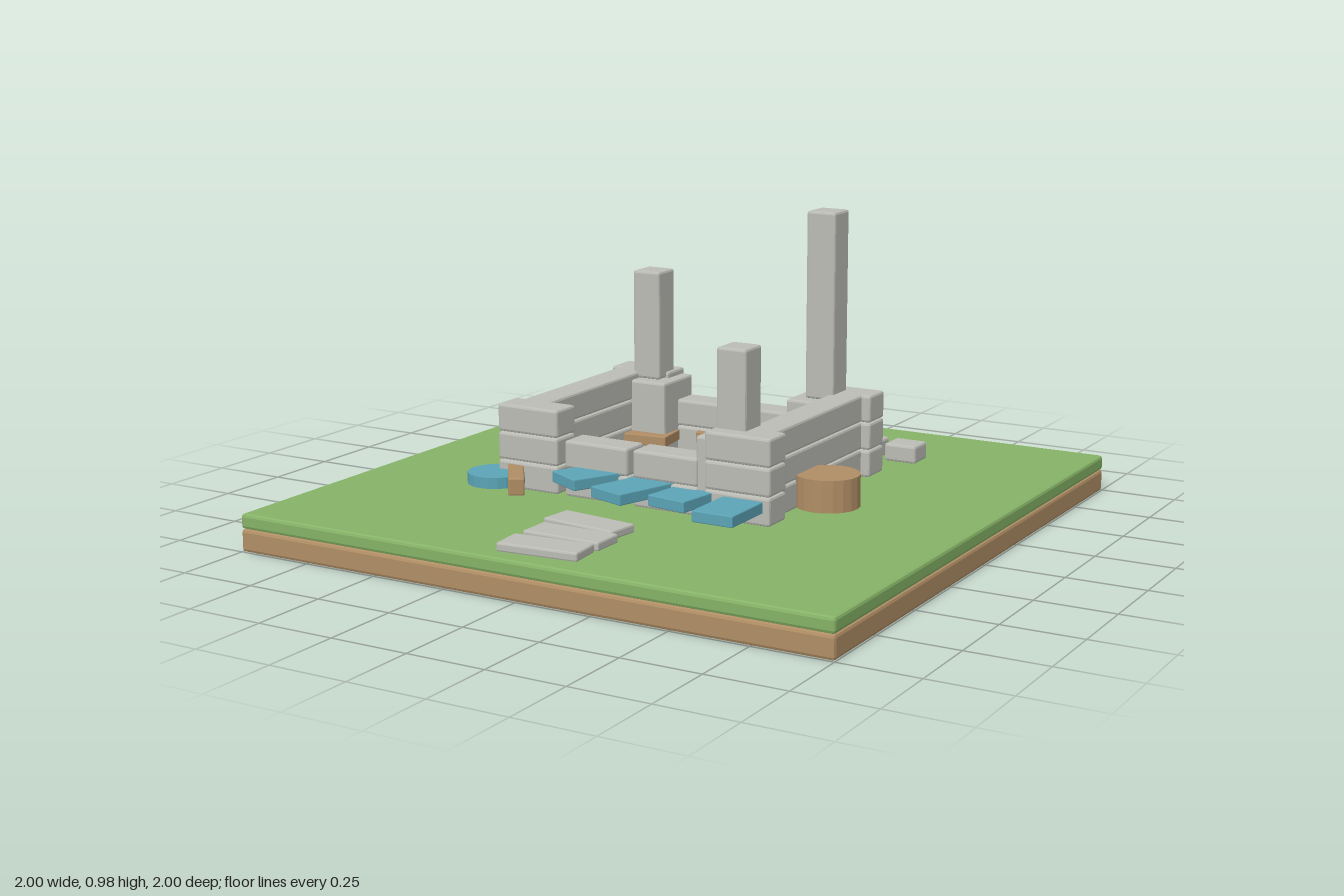
import * as THREE from 'three';
import { RoundedBoxGeometry } from 'three/addons/geometries/RoundedBoxGeometry.js';

const material = (name, color) =>
  Object.assign(new THREE.MeshStandardMaterial({ color, flatShading: true }), { name });

export function createModel() {
  const model = new THREE.Group();
  model.name = 'ruinedHut';
  const stone = material('stone', 0xbcbcb6);
  const grass = material('grass', 0x86b367);
  const clay = material('clayBrown', 0xb08e65);
  const blue = material('blueTile', 0x5ba4b6);

  // Chamfered box standing on height y, turned about the vertical
  const block = (name, mat, [w, h, d], [x, y, z], turn = 0, bevel = 0.008) => {
    const mesh = new THREE.Mesh(new RoundedBoxGeometry(w, h, d, 1, bevel), mat);
    mesh.name = name;
    mesh.position.set(x, y + h / 2, z);
    mesh.rotation.y = turn;
    model.add(mesh);
  };
  const drum = (name, mat, r, h, [x, y, z]) => {
    const mesh = new THREE.Mesh(new THREE.CylinderGeometry(r, r, h, 20), mat);
    mesh.name = name;
    mesh.position.set(x, y + h / 2, z);
    model.add(mesh);
  };

  // Ground slab
  block('soil', clay, [2, 0.072, 2], [0, 0, 0], 0, 0.01);
  block('grassLayer', grass, [2, 0.048, 2], [0, 0.072, 0], 0, 0.01);

  // Stone courses: full-height corners and side walls, lower front and back
  const base = 0.135, course = 0.089;
  for (let row = 0; row < 3; row++) {
    const y = base + row * course;
    for (const side of [-1, 1]) {
      block('sideWall', stone, [0.1, 0.087, 0.6], [side * 0.4, y, 0]);
      for (const end of [-1, 1]) {
        block('cornerStone', stone, [0.22, 0.087, 0.105], [side * 0.37, y, end * 0.335]);
        if (row < 2) block('wallStone', stone, [0.225, 0.087, 0.1], [side * 0.122, y, end * 0.335]);
      }
    }
  }

  // Broken pillars on plinths: x, z, top
  for (const [x, z, top] of [[-0.32, -0.29, 0.74], [0.32, -0.29, 0.98], [0.32, 0.285, 0.645]]) {
    block('plinth', stone, [0.19, 0.245, 0.185], [x, base, z]);
    block('pillar', stone, [0.1, top - 0.38, 0.1], [x, 0.38, z]);
  }

  // Fallen blue roof tiles in front: x, y, z, turn, length
  for (const [x, y, z, turn, length] of [
    [-0.11, 0.197, 0.37, -0.48, 0.27], [0.065, 0.19, 0.41, -0.32, 0.3],
    [0.22, 0.18, 0.37, -0.15, 0.28], [0.39, 0.175, 0.43, 0, 0.28],
  ]) block('roofTile', blue, [0.135, 0.035, length], [x, y, z], turn, 0.003);
  drum('blueDisc', blue, 0.09, 0.035, [-0.465, 0.158, 0.42]);

  // Fallen brown slabs behind: x, y, z, turn
  for (const [x, y, z, turn] of [
    [-0.5, 0.17, -0.44, 0], [-0.3, 0.175, -0.32, 0.13], [-0.11, 0.18, -0.44, 0.245],
    [0.105, 0.185, -0.32, 0.37], [0.295, 0.195, -0.44, 0.5],
  ]) block('brownSlab', clay, [0.152, 0.035, 0.332], [x, y, z], turn, 0.003);
  block('plank', clay, [0.05, 0.055, 0.36], [-0.42, 0.157, 0.38], 0.61, 0.005);
  drum('treeStump', clay, 0.1, 0.1, [0.52, 0.14, 0.09]);

  // Loose rubble
  block('rubble', stone, [0.14, 0.09, 0.11], [-0.54, 0.14, -0.125]);
  for (const x of [0.36, 0.495]) block('rubble', stone, [0.11, 0.058, 0.095], [x, 0.145, -0.525]);

  // Stepping stones
  for (const [x, z, turn] of [[0, 0.615, -0.12], [0.02, 0.745, 0], [0.02, 0.875, 0.09]])
    block('steppingStone', stone, [0.26, 0.028, 0.11], [x, 0.118, z], turn, 0.006);

  return model;
}
